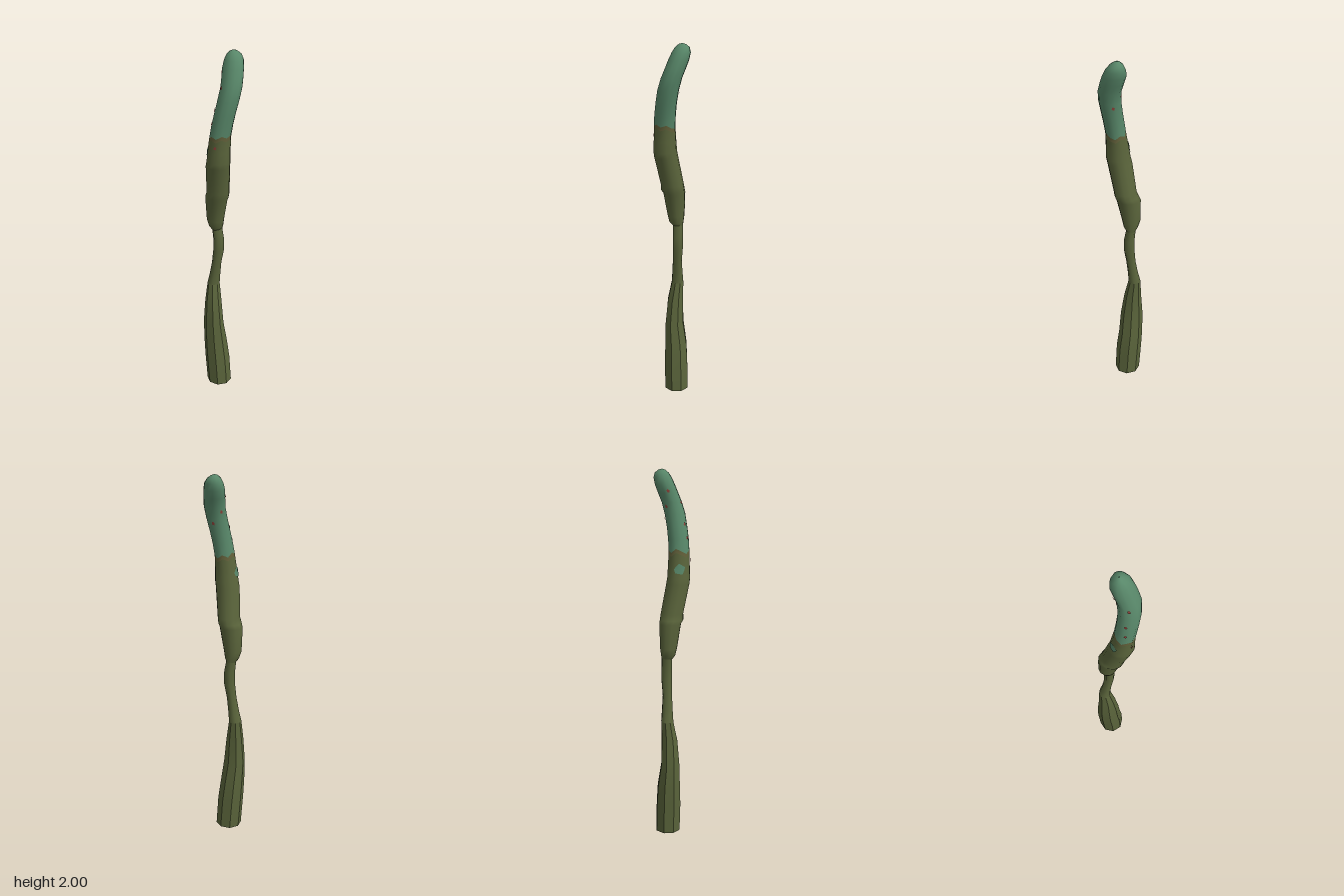
import * as THREE from 'three';
import { toCreasedNormals } from 'three/addons/utils/BufferGeometryUtils.js';

// Outline of each section: height, x min, x max, z min, z max
const LOWER = [
  [0.005, -0.105, 0.037, -0.075, 0.065], [0.17, -0.115, 0.03, -0.068, 0.072],
  [0.28, -0.12, 0.016, -0.058, 0.072], [0.41, -0.12, 0.006, -0.035, 0.07],
  [0.55, -0.11, -0.014, -0.031, 0.06], [0.66, -0.105, -0.038, -0.03, 0.04],
];
const NECK = [
  [0.66, -0.105, -0.038, -0.03, 0.04], [0.72, -0.09, -0.034, -0.029, 0.033],
  [0.8, -0.076, -0.025, -0.028, 0.025], [0.88, -0.07, -0.012, -0.038, 0.022],
  [0.95, -0.07, -0.012, -0.038, 0.022], [1.03, -0.076, -0.028, -0.034, 0.026],
];
const SHEATH = [
  [1.01, -0.076, -0.026, -0.034, 0.028], [1.03, -0.087, -0.01, -0.036, 0.042],
  [1.07, -0.1, -0.001, -0.04, 0.052], [1.2, -0.1, 0.03, -0.048, 0.068],
  [1.22, -0.088, 0.04, -0.05, 0.078], [1.25, -0.077, 0.044, -0.048, 0.075],
  [1.41, -0.052, 0.078, -0.026, 0.1], [1.44, -0.044, 0.085, -0.023, 0.1],
  [1.5, -0.034, 0.084, -0.021, 0.097], [1.58, -0.02, 0.086, -0.02, 0.093],
];
const TIP = [
  [1.58, -0.02, 0.086, -0.02, 0.093], [1.64, -0.012, 0.095, -0.026, 0.086],
  [1.7, -0.004, 0.105, -0.035, 0.075], [1.77, 0.003, 0.116, -0.05, 0.06],
  [1.83, 0.001, 0.117, -0.066, 0.041], [1.88, -0.013, 0.105, -0.082, 0.023],
  [1.92, -0.024, 0.093, -0.094, 0.01], [1.955, -0.023, 0.078, -0.1, -0.004],
  [1.98, -0.012, 0.058, -0.094, -0.018], [1.995, 0.004, 0.037, -0.075, -0.036],
  [2.0, 0.018, 0.022, -0.056, -0.052],
];
const PROFILE = [...SHEATH, ...TIP.slice(1)];
const SIDES = 12;
const JAG = [0, 0.012, -0.004, 0.006, -0.012, 0.002, 0.014, -0.008, 0.004, -0.014, -0.006, 0.01];

function ringPoint([y, x0, x1, z0, z1], a, lift = 0) {
  return [(x0 + x1) / 2 + ((x1 - x0) / 2 + lift) * Math.cos(a), y,
    (z0 + z1) / 2 + ((z1 - z0) / 2 + lift) * Math.sin(a)];
}

// Outline at any height of the upper half
function outlineAt(y) {
  const i = Math.max(1, PROFILE.findIndex((r) => r[0] >= y));
  const a = PROFILE[i - 1], b = PROFILE[i];
  const t = (y - a[0]) / (b[0] - a[0]);
  return a.map((v, k) => v + (b[k] - v) * t);
}

// Skin a stack of rings of points into a tube
function skin(rings) {
  const n = rings[0].length, index = [];
  for (let j = 0; j < rings.length - 1; j++) {
    for (let i = 0; i < n; i++) {
      const k = (i + 1) % n, p = j * n;
      index.push(p + i, p + n + i, p + k, p + k, p + n + i, p + n + k);
    }
  }
  const g = new THREE.BufferGeometry();
  g.setAttribute('position', new THREE.Float32BufferAttribute(rings.flat(2), 3));
  g.setIndex(index);
  g.computeVertexNormals();
  return g;
}

const angles = (n) => Array.from({ length: n }, (_, i) => (i / n) * Math.PI * 2);
const loft = (rows, n) => rows.map((r) => angles(n).map((a) => ringPoint(r, a)));
const jagged = (y) => angles(SIDES).map((a, i) => ringPoint(outlineAt(y + JAG[i]), a));

// Thin irregular blotch that follows the surface
function blotch(y, angle, height, spread) {
  const n = 9, pos = [...ringPoint(outlineAt(y), angle, 0.003)], index = [];
  for (let i = 0; i < n; i++) {
    const t = (i / n) * Math.PI * 2, r = i % 2 ? 0.8 : 1;
    pos.push(...ringPoint(outlineAt(y + Math.sin(t) * height * r), angle + Math.cos(t) * spread * r, 0.003));
    index.push(0, 1 + ((i + 1) % n), 1 + i);
  }
  const g = new THREE.BufferGeometry();
  g.setAttribute('position', new THREE.Float32BufferAttribute(pos, 3));
  g.setIndex(index);
  g.computeVertexNormals();
  return g;
}

export function createModel() {
  const material = (name, color) => new THREE.MeshStandardMaterial({ name, color, side: THREE.DoubleSide });
  const olive = material('olive', 0x5a643b);
  const green = material('seaGreen', 0x588769);
  const brown = material('brown', 0x62603a);
  const red = material('red', 0x8c4038);

  const model = new THREE.Group();
  model.name = 'stalk';
  const add = (name, geometry, mat) => {
    const mesh = new THREE.Mesh(geometry, mat);
    mesh.name = name;
    model.add(mesh);
  };

  // Faceted, open-ended foot and thin neck
  add('foot', toCreasedNormals(skin(loft(LOWER, 8)), 0.6), olive);
  add('neck', skin(loft(NECK, 8)), olive);

  // Swollen sheath, its frayed rim and the bent rounded tip
  add('sheath', skin([...loft(SHEATH.slice(0, -1), SIDES), jagged(1.56)]), olive);
  add('sheathRim', skin([jagged(1.56), jagged(1.58)]), brown);
  add('tip', skin([jagged(1.58), ...loft(TIP.slice(1), SIDES)]), green);

  // Green patch showing through the sheath
  add('sheathPatch', blotch(1.49, 2.75, 0.03, 0.5), green);

  // Small red specks: height, angle
  const specks = [[1.89, 2.7], [1.81, 3.45], [1.83, 1.75], [1.65, 1.9], [1.72, 2.0], [1.53, 1.05], [1.75, 4.4]];
  specks.forEach(([y, a], i) => add(`speck${i + 1}`, blotch(y, a, 0.01, 0.14), red));
  return model;
}
